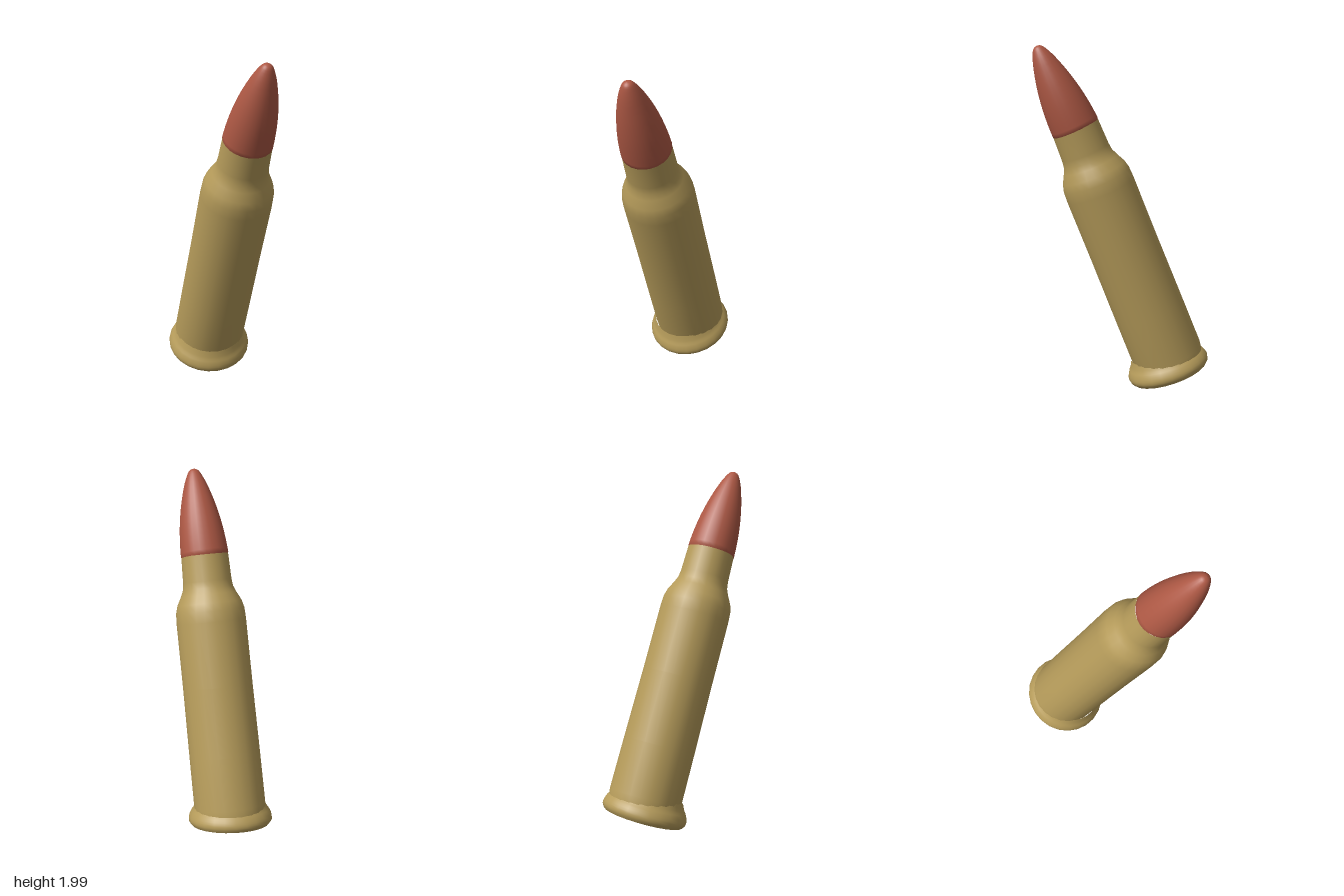
import * as THREE from 'three';

const brass = new THREE.MeshStandardMaterial({ color: 0xb59b5a });
brass.name = 'brass';
const red = new THREE.MeshStandardMaterial({ color: 0xad5844 });
red.name = 'brick red';

const SIDES = 24;
const UP = new THREE.Vector3(0, 1, 0);

// Lathe a list of [radius, distance] points along the axis from one point to another.
function turned(name, material, from, to, profile) {
  const start = new THREE.Vector3(...from);
  const axis = new THREE.Vector3(...to).sub(start).normalize();
  const points = profile.map(([r, d]) => new THREE.Vector2(r, d));
  const mesh = new THREE.Mesh(new THREE.LatheGeometry(points, SIDES), material);
  mesh.name = name;
  mesh.position.copy(start);
  mesh.quaternion.setFromUnitVectors(UP, axis);
  return mesh;
}

// Round off a profile by running a smooth curve through it.
function smooth(profile, steps) {
  const curve = new THREE.SplineCurve(profile.map(([r, d]) => new THREE.Vector2(r, d)));
  return curve.getPoints(steps).map((p) => [Math.max(p.x, 0), p.y]);
}

export function createModel() {
  const model = new THREE.Group();
  model.name = 'cartridge';

  const rimBase = [0.06, 0.078, -0.245];
  const rimTop = [-0.12, 1.078, 0.035];
  const neckTop = [-0.135, 1.545, 0.262];

  // Flat underside and flared rim
  model.add(turned('baseDisc', brass, rimBase, rimTop, [[0, 0], [0.226, 0]]));
  model.add(turned('rim', brass, rimBase, rimTop, smooth(
    [[0.226, 0], [0.241, 0.02], [0.243, 0.045], [0.231, 0.075], [0.214, 0.1], [0.196, 0.14]], 12)));

  // Case body, shoulder and neck
  model.add(turned('case', brass, [0.065, 0.1, -0.262], neckTop, [
    [0.2, 0.04], [0.208, 0.1], [0.206, 0.4], [0.202, 0.8], [0.201, 1.17], [0.198, 1.23],
    [0.186, 1.275], [0.16, 1.325], [0.145, 1.36], [0.14, 1.4], [0.135, 1.549],
  ]));

  // Pointed bullet with a rounded tip
  model.add(turned('bullet', red, neckTop, [-0.2, 2, 0.458], [
    [0.12, -0.03],
    ...smooth([[0.137, 0], [0.132, 0.08], [0.12, 0.18], [0.098, 0.29], [0.066, 0.4],
      [0.038, 0.465], [0.02, 0.488], [0, 0.494]], 20),
  ]));

  return model;
}
